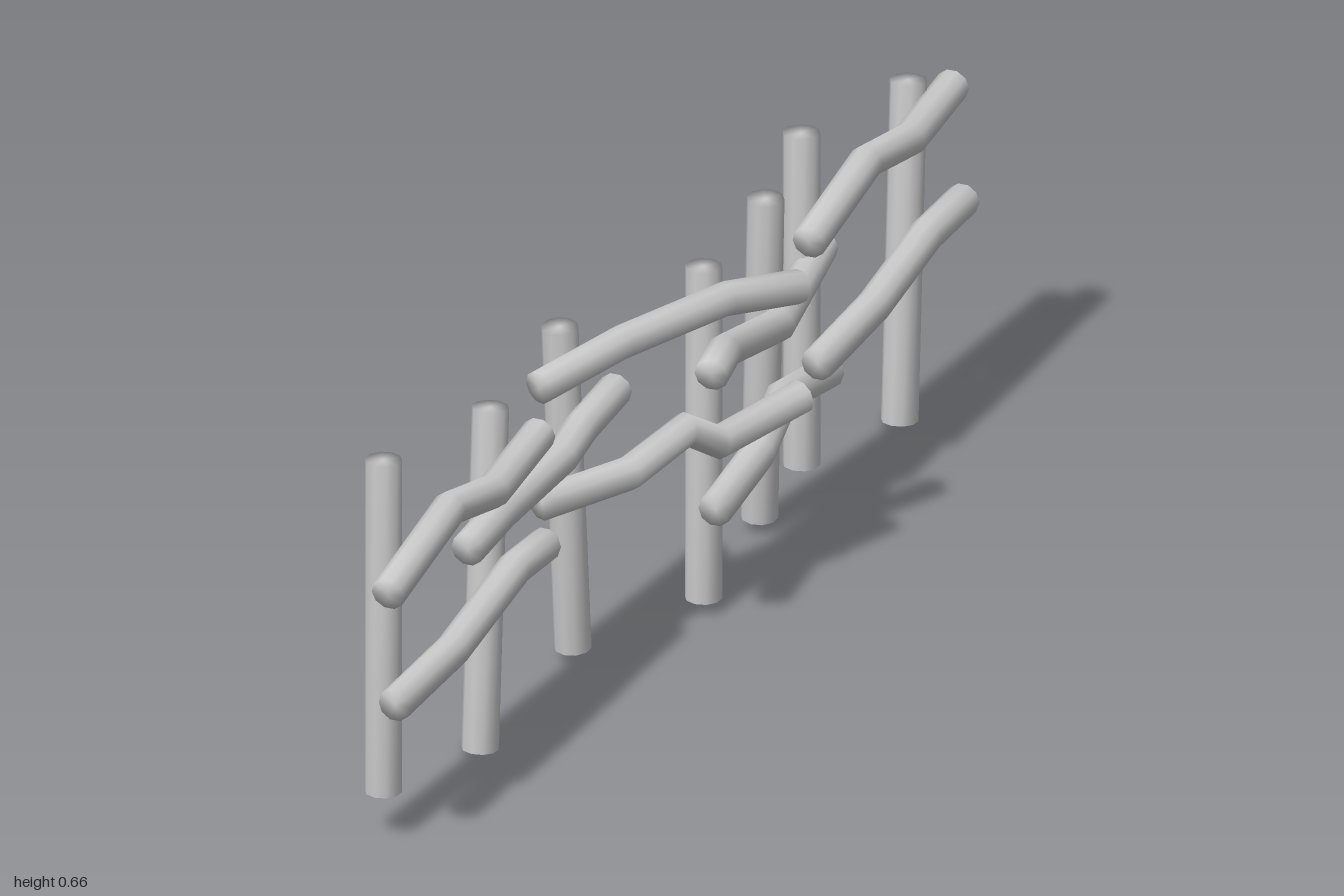
import * as THREE from 'three';

const SIDES = 10;
const material = new THREE.MeshStandardMaterial({ color: 0xcccccc });

// Closed log swept along a bent path; cap and side vertices are shared so the rims shade softly
function log(name, path, radius, ref) {
  const pos = [], index = [];
  const last = path.length - 1;
  path.forEach((p, i) => {
    const t = path[Math.min(i + 1, last)].clone().sub(p).normalize();
    const before = p.clone().sub(path[Math.max(i - 1, 0)]).normalize();
    t.add(before).normalize();
    const u = new THREE.Vector3().crossVectors(ref, t).normalize();
    const v = new THREE.Vector3().crossVectors(t, u);
    for (let k = 0; k < SIDES; k++) {
      const a = (k / SIDES) * Math.PI * 2;
      const q = p.clone().addScaledVector(u, radius * Math.cos(a)).addScaledVector(v, radius * Math.sin(a));
      pos.push(q.x, q.y, q.z);
    }
  });
  for (let i = 0; i < last; i++) {
    for (let k = 0; k < SIDES; k++) {
      const a = i * SIDES + k, b = i * SIDES + (k + 1) % SIDES;
      index.push(a, b, b + SIDES, a, b + SIDES, a + SIDES);
    }
  }
  // End caps
  const start = pos.length / 3, end = start + 1, top = last * SIDES;
  pos.push(...path[0].toArray(), ...path[last].toArray());
  for (let k = 0; k < SIDES; k++) {
    const n = (k + 1) % SIDES;
    index.push(start, n, k, end, top + k, top + n);
  }
  const geo = new THREE.BufferGeometry();
  geo.setAttribute('position', new THREE.Float32BufferAttribute(pos, 3));
  geo.setIndex(index);
  geo.computeVertexNormals();
  const mesh = new THREE.Mesh(geo, material);
  mesh.name = name;
  return mesh;
}

// Posts: foot [x, y, z], head [x, y, z]
const posts = [
  [[-0.057, 0.08, 0.89], [-0.057, 0.655, 0.89]],
  [[-0.075, 0, 0.525], [-0.075, 0.578, 0.49]],
  [[-0.1, 0.02, 0.16], [-0.1, 0.595, 0.205]],
  [[-0.003, 0.02, -0.1], [-0.003, 0.595, -0.1]],
  [[-0.065, 0.02, -0.41], [-0.033, 0.595, -0.37]],
  [[-0.037, 0.08, -0.5], [-0.037, 0.655, -0.5]],
  [[-0.055, 0, -0.87], [-0.055, 0.578, -0.9]],
];

// Rails: x at the first and last point, then bends as [z, y]
const rails = [
  [0.008, -0.022, [[1, 0.48], [0.765, 0.53], [0.6, 0.49], [0.425, 0.517]]],
  [0.005, -0.025, [[0.97, 0.275], [0.75, 0.278], [0.515, 0.32], [0.4, 0.313]]],
  [-0.022, -0.055, [[0.67, 0.415], [0.545, 0.425], [0.31, 0.423], [0.23, 0.442], [0.1, 0.453]]],
  [-0.075, 0.1, [[0.325, 0.543], [0.15, 0.562], [-0.07, 0.562], [-0.225, 0.53]]],
  [-0.075, 0.1, [[0.315, 0.338], [0.13, 0.327], [0.01, 0.362], [-0.06, 0.316], [-0.235, 0.335]]],
  [0.068, -0.03, [[0.01, 0.466], [-0.06, 0.477], [-0.33, 0.4], [-0.555, 0.437]]],
  [0.07, -0.03, [[0, 0.228], [-0.22, 0.228], [-0.345, 0.27], [-0.575, 0.21]]],
  [0.028, -0.01, [[-0.4, 0.518], [-0.625, 0.563], [-0.795, 0.53], [-0.965, 0.552]]],
  [0.028, -0.01, [[-0.43, 0.295], [-0.65, 0.303], [-0.855, 0.338], [-1, 0.338]]],
];

export function createModel() {
  const group = new THREE.Group();
  group.name = 'rusticFence';

  const xAxis = new THREE.Vector3(1, 0, 0), yAxis = new THREE.Vector3(0, 1, 0);

  posts.forEach(([foot, head], i) => {
    const path = [new THREE.Vector3(...foot), new THREE.Vector3(...head)];
    group.add(log('post' + (i + 1), path, 0.03, xAxis));
  });

  rails.forEach(([x0, x1, bends], i) => {
    const z0 = bends[0][0], z1 = bends[bends.length - 1][0];
    const path = bends.map(([z, y]) =>
      new THREE.Vector3(THREE.MathUtils.mapLinear(z, z0, z1, x0, x1), y, z));
    group.add(log('rail' + (i + 1), path, 0.028, yAxis));
  });

  return group;
}
